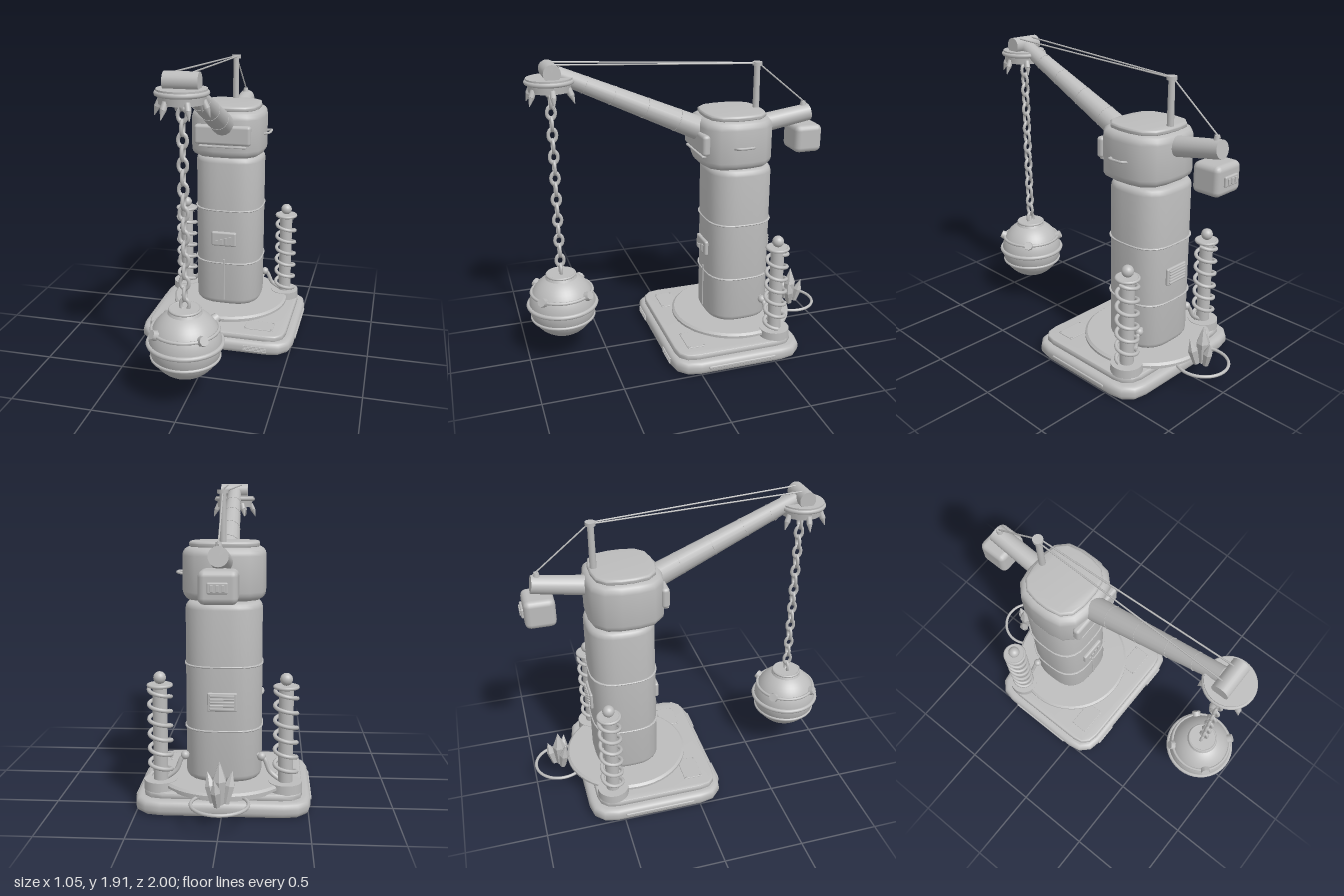
import * as THREE from 'three';
import { toCreasedNormals } from 'three/addons/utils/BufferGeometryUtils.js';
import { RoundedBoxGeometry } from 'three/addons/geometries/RoundedBoxGeometry.js';

const V = (x, y, z) => new THREE.Vector3(x, y, z);
const UP = V(0, 1, 0);

export function createModel() {
  const model = new THREE.Group();
  model.name = 'wreckingCrane';
  const steel = new THREE.MeshStandardMaterial({ color: 0xbcbcbc });
  steel.name = 'steelGrey';

  const add = (name, geo, x = 0, y = 0, z = 0, parent = model) => {
    const m = new THREE.Mesh(geo, steel);
    m.name = name;
    m.position.set(x, y, z);
    parent.add(m);
    return m;
  };
  const group = (name, x, y, z) => {
    const g = new THREE.Group();
    g.name = name;
    g.position.set(x, y, z);
    model.add(g);
    return g;
  };
  const box = (name, w, h, d, x, y, z, r = 0.01) =>
    add(name, new RoundedBoxGeometry(w, h, d, 2, Math.min(r, w / 2.1, h / 2.1, d / 2.1)), x, y, z);
  const cyl = (name, r1, r2, h, x, y, z, parent = model, seg = 24) =>
    add(name, new THREE.CylinderGeometry(r1, r2, h, seg), x, y, z, parent);
  const ball = (name, r, x, y, z, parent = model) =>
    add(name, new THREE.SphereGeometry(r, 20, 14), x, y, z, parent);
  const ring = (name, r, t, x, y, z, parent = model) => {
    const m = add(name, new THREE.TorusGeometry(r, t, 8, 40), x, y, z, parent);
    m.rotation.x = Math.PI / 2;
    return m;
  };
  // Tapered rod from a (radius ra) to b (radius rb)
  const rod = (name, a, b, ra, rb = ra, parent = model, seg = 16) => {
    const d = b.clone().sub(a);
    const m = add(name, new THREE.CylinderGeometry(rb, ra, d.length(), seg), 0, 0, 0, parent);
    m.position.copy(a).addScaledVector(d, 0.5);
    m.quaternion.setFromUnitVectors(UP, d.normalize());
    return m;
  };
  // Upright block with rounded plan corners and bevelled rims
  const block = (name, w, d, y0, y1, z, r, b, segs = 4, bevSegs = 4) => {
    const hw = w / 2 - b, hd = d / 2 - b, s = new THREE.Shape();
    s.moveTo(-hw + r, -hd);
    s.lineTo(hw - r, -hd).quadraticCurveTo(hw, -hd, hw, -hd + r);
    s.lineTo(hw, hd - r).quadraticCurveTo(hw, hd, hw - r, hd);
    s.lineTo(-hw + r, hd).quadraticCurveTo(-hw, hd, -hw, hd - r);
    s.lineTo(-hw, -hd + r).quadraticCurveTo(-hw, -hd, -hw + r, -hd);
    const g = new THREE.ExtrudeGeometry(s, {
      depth: y1 - y0 - 2 * b, bevelEnabled: true, bevelSize: b, bevelThickness: b,
      bevelSegments: bevSegs, curveSegments: segs,
    });
    g.rotateX(-Math.PI / 2);
    return add(name, toCreasedNormals(g, 0.7), 0, y0 + b, z);
  };

  // Base slabs and turntable
  block('baseSlab', 1.03, 0.87, 0, 0.09, -0.27, 0.13, 0.035, 3);
  block('deck', 0.93, 0.78, 0.08, 0.125, -0.26, 0.11, 0.012, 3);
  const disc = [[0, 0.12], [0.37, 0.12], [0.37, 0.14], [0.4, 0.145], [0.4, 0.16], [0.385, 0.172], [0, 0.172]];
  add('turntable', toCreasedNormals(new THREE.LatheGeometry(disc.map(p => new THREE.Vector2(...p)), 48), 0.6), 0, 0, -0.38);
  for (const s of [-1, 1]) {
    box('sideStrip', 0.016, 0.018, 0.45, s * 0.515, 0.05, -0.27, 0.005);
    box('deckHatch', 0.19, 0.008, 0.12, s * 0.285, 0.126, -0.01, 0.003);
    for (const i of [-1, 1]) for (const j of [-1, 1])
      cyl('hatchBolt', 0.006, 0.006, 0.008, s * 0.285 + i * 0.085, 0.132, -0.01 + j * 0.05, model, 8);
    for (let i = 0; i < 4; i++) box('frontVent', 0.155, 0.005, 0.016, s * 0.285, 0.032 + i * 0.01, 0.163, 0.001);
  }

  // Tower with bands and panels
  block('tower', 0.448, 0.415, 0.17, 1.22, -0.388, 0.14, 0.04, 6);
  for (const y of [0.48, 0.855]) block('towerBand', 0.462, 0.429, y - 0.005, y + 0.005, -0.388, 0.177, 0.003, 6, 1);
  box('frontPanel', 0.17, 0.1, 0.03, 0, 0.66, -0.175, 0.012);
  for (let i = 0; i < 4; i++) box('gaugeBar', 0.018, 0.025 + 0.01 * i, 0.008, -0.045 + i * 0.03, 0.638 + 0.005 * i, -0.158, 0.002);
  box('frontSeam', 0.014, 0.3, 0.012, 0, 0.36, -0.18, 0.004);
  box('backPanel', 0.17, 0.11, 0.02, 0, 0.655, -0.6, 0.008);
  for (let i = 0; i < 5; i++) box('louver', 0.14, 0.01, 0.014, 0, 0.617 + i * 0.019, -0.612, 0.003);

  // Head
  block('head', 0.485, 0.465, 1.225, 1.53, -0.353, 0.135, 0.05, 3);
  block('headLip', 0.41, 0.39, 1.525, 1.56, -0.355, 0.14, 0.015, 3);
  box('visor', 0.37, 0.13, 0.05, 0, 1.385, -0.13, 0.02);
  box('visorSill', 0.31, 0.012, 0.03, 0, 1.31, -0.122, 0.004);
  add('sideHandle', new THREE.TubeGeometry(new THREE.CatmullRomCurve3([
    V(0.235, 1.37, -0.29), V(0.27, 1.377, -0.3), V(0.275, 1.377, -0.35), V(0.27, 1.377, -0.4), V(0.235, 1.37, -0.41),
  ]), 20, 0.008, 8));

  // Boom with bands
  const b0 = V(0, 1.435, -0.18), b1 = V(0, 1.845, 0.73);
  rod('boom', b0, b1, 0.076, 0.047);
  for (const t of [0.2, 0.42, 0.64, 0.82]) {
    const r = 0.078 - 0.029 * t;
    rod('boomBand', b0.clone().lerp(b1, t - 0.004), b0.clone().lerp(b1, t + 0.004), r, r);
  }
  rod('tipDrum', V(-0.095, 1.862, 0.765), V(0.095, 1.862, 0.765), 0.051, 0.051, model, 24);

  // Claw disc under the boom tip
  const claw = group('clawDisc', 0, 0, 0.77);
  cyl('clawDiscPlate', 0.135, 0.135, 0.035, 0, 1.81, 0, claw, 32);
  ring('clawDiscRim', 0.132, 0.014, 0, 1.805, 0, claw);
  cyl('clawDiscHub', 0.128, 0.122, 0.05, 0, 1.775, 0, claw, 32);
  for (let i = 0; i < 6; i++) {
    const a = i * Math.PI / 3, c = Math.cos(a), s = Math.sin(a);
    const at = (r, y) => V(c * r, y, s * r);
    rod('claw', at(0.114, 1.77), at(0.132, 1.73), 0.017, 0.018, claw, 10);
    rod('clawTip', at(0.132, 1.73), at(0.15, 1.682), 0.018, 0.002, claw, 10);
  }

  // Chain of alternating oval links
  const chain = group('chain', 0, 0, 0.77);
  const linkGeo = new THREE.TorusGeometry(0.0245, 0.0105, 8, 24).scale(1, 1.42, 1);
  for (let i = 0; i < 18; i++)
    add('chainLink', linkGeo, 0, 1.755 - i * 0.0672, 0, chain).rotation.y = i % 2 ? 0 : Math.PI / 2;

  // Wrecking ball
  const wreck = group('wreckingBall', 0, 0.38, 0.77);
  add('ballBody', new THREE.SphereGeometry(0.21, 40, 28), 0, 0, 0, wreck);
  ring('ballBand', 0.213, 0.014, 0, 0.005, 0, wreck);
  ring('ballBand', 0.196, 0.01, 0, -0.08, 0, wreck);
  ring('ballBand', 0.192, 0.01, 0, 0.092, 0, wreck);
  cyl('ballCap', 0.085, 0.1, 0.03, 0, 0.198, 0, wreck, 28);
  ring('ballCapRim', 0.088, 0.008, 0, 0.207, 0, wreck);
  for (let i = 0; i < 4; i++) {
    const a = Math.PI / 4 + i * Math.PI / 2;
    const d = V(Math.cos(a) * 0.89, 0.43, Math.sin(a) * 0.89).normalize();
    rod('ballStud', d.clone().multiplyScalar(0.19), d.clone().multiplyScalar(0.238), 0.033, 0.028, wreck, 8);
  }

  // Spring posts with hoses to the tower
  for (const s of [-1, 1]) {
    const post = group('springPost', s * 0.365, 0, -0.545);
    cyl('postFoot', 0.097, 0.099, 0.055, 0, 0.148, 0, post, 28);
    cyl('postCore', 0.043, 0.043, 0.57, 0, 0.45, 0, post);
    cyl('postCap', 0.066, 0.066, 0.016, 0, 0.738, 0, post);
    ring('postCapRim', 0.066, 0.01, 0, 0.738, 0, post);
    ball('postKnob', 0.037, 0, 0.782, 0, post);
    const coil = [];
    for (let i = 0; i <= 84; i++) {
      const a = i * Math.PI / 7;
      coil.push(V(0.064 * Math.cos(a), 0.19 + 0.525 * i / 84, 0.064 * Math.sin(a)));
    }
    add('coilSpring', new THREE.TubeGeometry(new THREE.CatmullRomCurve3(coil), 200, 0.012, 8), 0, 0, 0, post);
    add('hose', new THREE.TubeGeometry(new THREE.CatmullRomCurve3([
      V(s * 0.2, 0.32, -0.51), V(s * 0.24, 0.3, -0.52), V(s * 0.275, 0.225, -0.53), V(s * 0.33, 0.18, -0.54),
    ]), 20, 0.014, 8));
    ball('hoseJoint', 0.026, s * 0.225, 0.31, -0.515);
  }

  // Counterweight arm
  rod('counterArm', V(0, 1.44, -0.5), V(0, 1.502, -0.89), 0.062, 0.055, model, 20);
  box('counterweight', 0.21, 0.18, 0.185, 0, 1.345, -0.858, 0.035);
  box('counterweightPlate', 0.11, 0.06, 0.02, 0, 1.345, -0.955, 0.008);
  for (let i = -1; i <= 1; i++) box('counterweightBar', 0.016, 0.036, 0.012, i * 0.03, 1.345, -0.966, 0.003);
  cyl('cableAnchor', 0.015, 0.022, 0.04, 0, 1.555, -0.85, model, 12);

  // Mast and stay cables
  cyl('mast', 0.019, 0.021, 0.29, 0, 1.685, -0.52, model, 16);
  cyl('mastCap', 0.031, 0.031, 0.022, 0, 1.835, -0.52, model, 16);
  for (const s of [-1, 1]) rod('stayCable', V(s * 0.01, 1.837, -0.52), V(s * 0.05, 1.905, 0.75), 0.005, 0.005, model, 6);
  rod('backCable', V(0, 1.835, -0.53), V(0, 1.56, -0.87), 0.005, 0.005, model, 6);

  // Crystal cluster inside its ring
  ring('crystalRing', 0.16, 0.01, 0, 0.14, -0.832);
  const shards = [[0, 0, 0, 0, 0.235, 0.042], [0.035, 0.015, 0.035, 0.03, 0.16, 0.032], [-0.035, 0.01, -0.035, 0.025, 0.17, 0.032],
    [0.01, -0.035, 0.015, -0.035, 0.15, 0.03]];
  for (const [x, z, tx, tz, h, r] of shards) {
    const a = V(x, 0.14, z - 0.83), b = V(x + tx, 0.15 + h, z + tz - 0.83), mid = a.clone().lerp(b, 0.55);
    for (const m of [rod('crystal', a, mid, r * 0.65, r, model, 6), rod('crystalTip', mid, b, r, 0.001, model, 6)])
      m.geometry = toCreasedNormals(m.geometry, 0.1);
  }
  return model;
}
